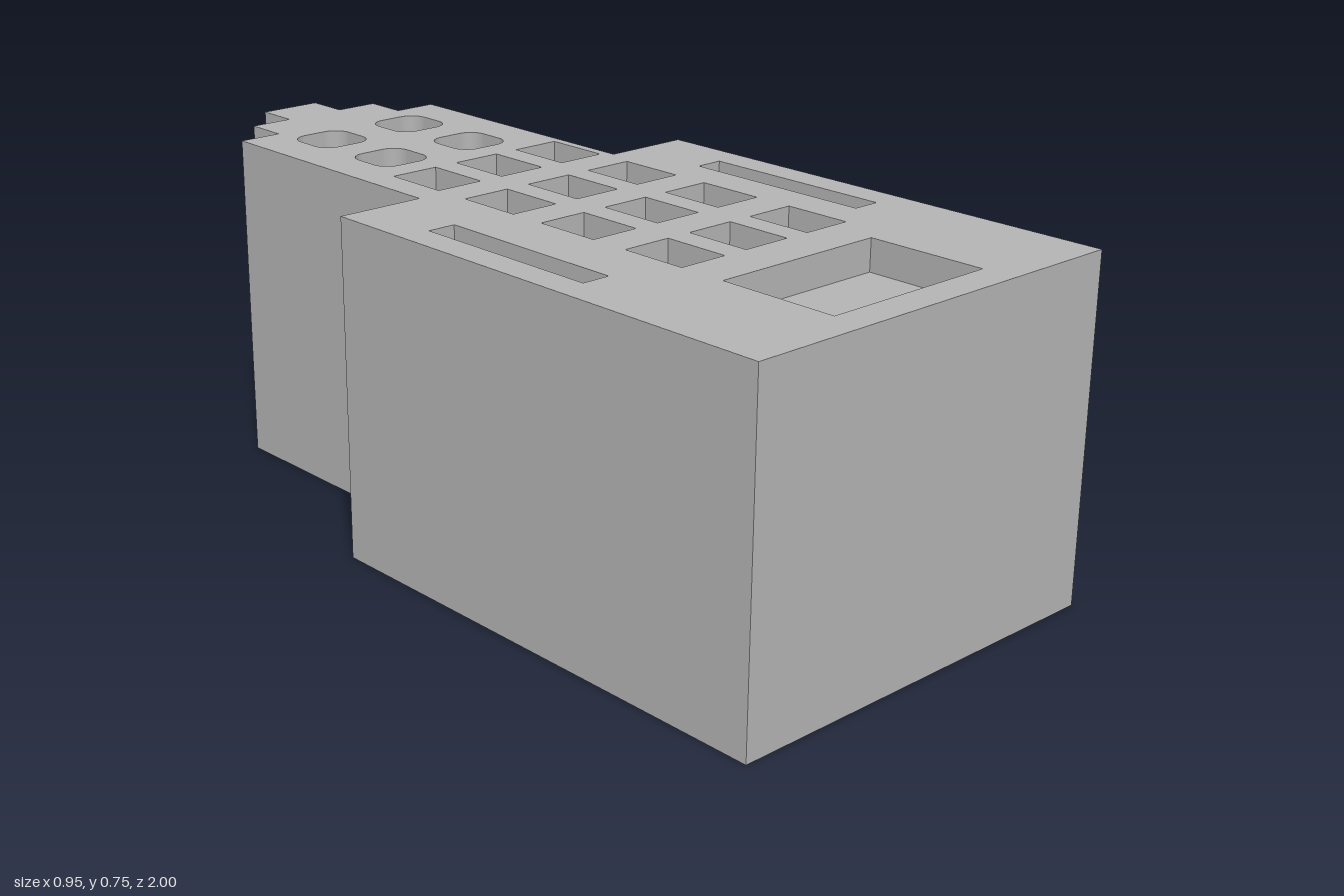
import * as THREE from 'three';

const HEIGHT = 0.75;
const KEY_DEPTH = 0.1;
const SCREEN_DEPTH = 0.07;

// Rectangle path in plan (shape y = -z), optionally with rounded corners
function plan(cx, cz, w, d, r = 0) {
  const p = new THREE.Path();
  const x = w / 2, y = d / 2, cy = -cz;
  if (r === 0) {
    return p.setFromPoints([[-x, -y], [x, -y], [x, y], [-x, y], [-x, -y]]
      .map(([a, b]) => new THREE.Vector2(cx + a, cy + b)));
  }
  p.moveTo(cx - x + r, cy - y);
  p.absarc(cx + x - r, cy - y + r, r, -Math.PI / 2, 0);
  p.absarc(cx + x - r, cy + y - r, r, 0, Math.PI / 2);
  p.absarc(cx - x + r, cy + y - r, r, Math.PI / 2, Math.PI);
  p.absarc(cx - x + r, cy - y + r, r, Math.PI, Math.PI * 1.5);
  p.closePath();
  return p;
}

// Vertical walls along a closed counter-clockwise loop, facing outward
function walls(points, y0, y1) {
  const v = [];
  points.forEach((a, i) => {
    const b = points[(i + 1) % points.length];
    if (a.distanceTo(b) < 1e-6) return;
    v.push(a.x, y0, -a.y, b.x, y0, -b.y, b.x, y1, -b.y);
    v.push(a.x, y0, -a.y, b.x, y1, -b.y, a.x, y1, -a.y);
  });
  const g = new THREE.BufferGeometry();
  g.setAttribute('position', new THREE.Float32BufferAttribute(v, 3));
  g.computeVertexNormals();
  return g;
}

// Flat face looking up at height y
function upFace(shape, y) {
  return new THREE.ShapeGeometry(shape, 6).rotateX(-Math.PI / 2).translate(0, y, 0);
}

export function createModel() {
  const group = new THREE.Group();
  const grey = new THREE.MeshStandardMaterial({ color: 0xb3b3b3 });
  grey.name = 'grey';

  const add = (name, geometry, parent = group) => {
    const mesh = new THREE.Mesh(geometry, grey);
    mesh.name = name;
    parent.add(mesh);
  };

  // Stepped outline, right half mirrored to the left
  const half = [[0.473, -1], [0.473, 0.15], [0.273, 0.15], [0.273, 0.8],
    [0.173, 0.8], [0.173, 0.9], [0.073, 0.9], [0.073, 1]];
  const outline = [...half, ...half.map(([x, y]) => [-x, y]).reverse()]
    .map(([x, y]) => new THREE.Vector2(x, y));

  // Recesses in the top
  const pockets = [
    { name: 'screenRecess', path: plan(0, 0.791, 0.41, 0.27), depth: SCREEN_DEPTH },
  ];
  for (const s of [-1, 1]) {
    pockets.push({ name: 'sideSlot', path: plan(s * 0.373, 0.273, 0.063, 0.449), depth: KEY_DEPTH });
    for (const z of [-0.678, -0.458]) {
      pockets.push({ name: 'roundedKeyRecess', path: plan(s * 0.111, z, 0.134, 0.135, 0.04), depth: KEY_DEPTH });
    }
  }
  for (const z of [-0.248, -0.008, 0.23, 0.473]) {
    for (const x of [-0.148, 0.024, 0.195]) {
      pockets.push({ name: 'squareKeyRecess', path: plan(x, z, 0.114, 0.153), depth: KEY_DEPTH });
    }
  }

  // Outer body
  const top = new THREE.Shape(outline);
  top.holes = pockets.map((p) => p.path);
  add('topFace', upFace(top, HEIGHT));
  add('outerWalls', walls(outline, 0, HEIGHT));
  const base = new THREE.Shape(outline.map((p) => new THREE.Vector2(p.x, -p.y)));
  add('baseFace', new THREE.ShapeGeometry(base).rotateX(Math.PI / 2));

  // Inner walls and floor of each recess
  for (const { name, path, depth } of pockets) {
    const recess = new THREE.Group();
    recess.name = name;
    const loop = path.getPoints(6);
    add('recessWalls', walls([...loop].reverse(), HEIGHT - depth, HEIGHT), recess);
    add('recessFloor', upFace(new THREE.Shape(loop), HEIGHT - depth), recess);
    group.add(recess);
  }
  return group;
}
